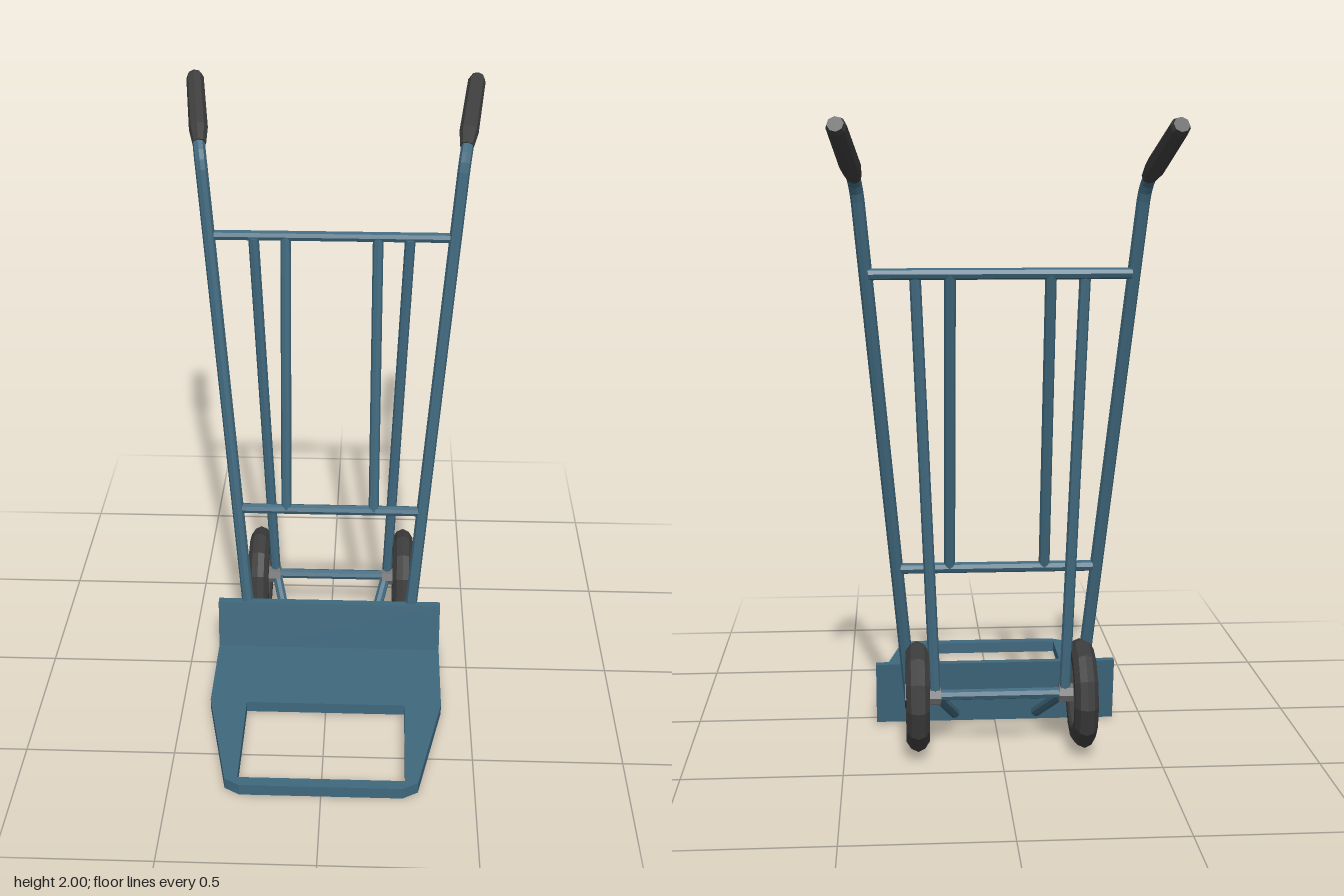
import * as THREE from 'three';

const mat = (name, color) => {
  const m = new THREE.MeshStandardMaterial({ color, flatShading: true });
  m.name = name;
  return m;
};

export function createModel() {
  const paint = mat('blue paint', 0x3f687d);
  const rubber = mat('black rubber', 0x3d3d3d);
  const steel = mat('grey steel', 0x6c6c6c);
  const group = new THREE.Group();
  group.name = 'handTruck';

  const V = (x, y, z) => new THREE.Vector3(x, y, z);
  const add = (name, geometry, material, parent = group) => {
    const mesh = new THREE.Mesh(geometry, material);
    mesh.name = name;
    parent.add(mesh);
    return mesh;
  };
  // turns a geometry built along y so that it runs from a to b
  const align = (geometry, a, b) => {
    const dir = b.clone().sub(a).normalize();
    const q = new THREE.Quaternion().setFromUnitVectors(V(0, 1, 0), dir);
    geometry.applyQuaternion(q);
    return geometry.translate(a.x, a.y, a.z);
  };
  const bar = (name, a, b, r = 0.018, material = paint, sides = 8) => {
    const len = a.distanceTo(b);
    const g = new THREE.CylinderGeometry(r, r, len, sides).translate(0, len / 2, 0);
    return add(name, align(g, a, b), material);
  };

  // toe plate with tapered nose and rectangular opening
  const toe = new THREE.Shape([
    [-0.4, -0.05], [0.4, -0.05], [0.4, 0.27], [0.315, 0.67],
    [0.265, 0.7], [-0.265, 0.7], [-0.315, 0.67], [-0.4, 0.27],
  ].map(([x, z]) => new THREE.Vector2(x, z)));
  toe.holes.push(new THREE.Path([
    [-0.273, 0.28], [-0.273, 0.662], [0.273, 0.662], [0.273, 0.28],
  ].map(([x, z]) => new THREE.Vector2(x, z))));
  const toeGeo = new THREE.ExtrudeGeometry(toe, { depth: 0.04, bevelEnabled: false });
  add('toePlate', toeGeo.rotateX(Math.PI / 2).translate(0, 0.045, 0), paint);

  // leaning back plate, side profile drawn as (-z, y)
  const back = new THREE.Shape([
    [0.033, 0.006], [0.062, 0.006], [0.095, 0.218], [0.068, 0.218],
  ].map(([x, y]) => new THREE.Vector2(x, y)));
  const backGeo = new THREE.ExtrudeGeometry(back, { depth: 0.8, bevelEnabled: false });
  add('backPlate', backGeo.rotateY(Math.PI / 2).translate(-0.4, 0, 0), paint);

  // cross bars and axle
  bar('upperCrossBar', V(-0.405, 1.535, -0.325), V(0.405, 1.535, -0.325));
  bar('lowerCrossBar', V(-0.315, 0.565, -0.156), V(0.315, 0.565, -0.156));
  bar('axle', V(-0.24, 0.185, -0.31), V(0.24, 0.185, -0.31));

  for (const s of [-1, 1]) {
    const side = s > 0 ? 'left' : 'right';

    // side rail with a bend into the handle
    const foot = V(s * 0.278, 0.003, -0.06);
    const knee = V(s * 0.432, 1.755, -0.353);
    const wrist = V(s * 0.447, 1.84, -0.425);
    bar(side + 'Rail', foot, knee, 0.021);
    const bend = new THREE.QuadraticBezierCurve3(knee, V(s * 0.438, 1.815, -0.363), wrist);
    add(side + 'RailBend', new THREE.TubeGeometry(bend, 4, 0.021, 8), paint);

    // grip
    const gripStart = V(s * 0.441, 1.828, -0.397);
    const gripEnd = V(s * 0.483, 1.975, -0.69);
    const len = gripStart.distanceTo(gripEnd);
    const grip = new THREE.LatheGeometry([
      [0, 0], [0.023, 0], [0.032, 0.07], [0.03, len - 0.015], [0.024, len], [0, len],
    ].map(([r, y]) => new THREE.Vector2(r, y)), 8);
    add(side + 'Grip', align(grip, gripStart, gripEnd), rubber);

    // inner upright, rear strut and lower brace
    bar(side + 'Upright', V(s * 0.155, 0.565, -0.156), V(s * 0.155, 1.535, -0.325));
    bar(side + 'RearStrut', V(s * 0.208, 0.185, -0.313), V(s * 0.262, 1.53, -0.313));
    bar(side + 'AxleBrace', V(s * 0.205, 0.185, -0.31), V(s * 0.138, 0.035, -0.07));

    // wheel, built around y and laid onto the axle
    const wheel = new THREE.Group();
    wheel.name = side + 'Wheel';
    wheel.position.set(s * 0.265, 0.183, -0.307);
    wheel.rotation.z = -s * Math.PI / 2;
    group.add(wheel);
    const tyre = new THREE.LatheGeometry([
      [0.1, -0.028], [0.115, -0.037], [0.145, -0.037], [0.168, -0.022], [0.178, 0],
      [0.168, 0.022], [0.145, 0.037], [0.115, 0.037], [0.1, 0.028],
    ].map(([r, y]) => new THREE.Vector2(r, y)), 12);
    add('tyre', tyre, rubber, wheel);
    add('hub', new THREE.CylinderGeometry(0.112, 0.112, 0.06, 12), steel, wheel);
    add('hubNut', new THREE.CylinderGeometry(0.04, 0.04, 0.012, 4).translate(0, 0.034, 0), rubber, wheel);
    add('hubCollar', new THREE.CylinderGeometry(0.032, 0.032, 0.05, 8).translate(0, -0.05, 0), steel, wheel);
  }
  return group;
}
